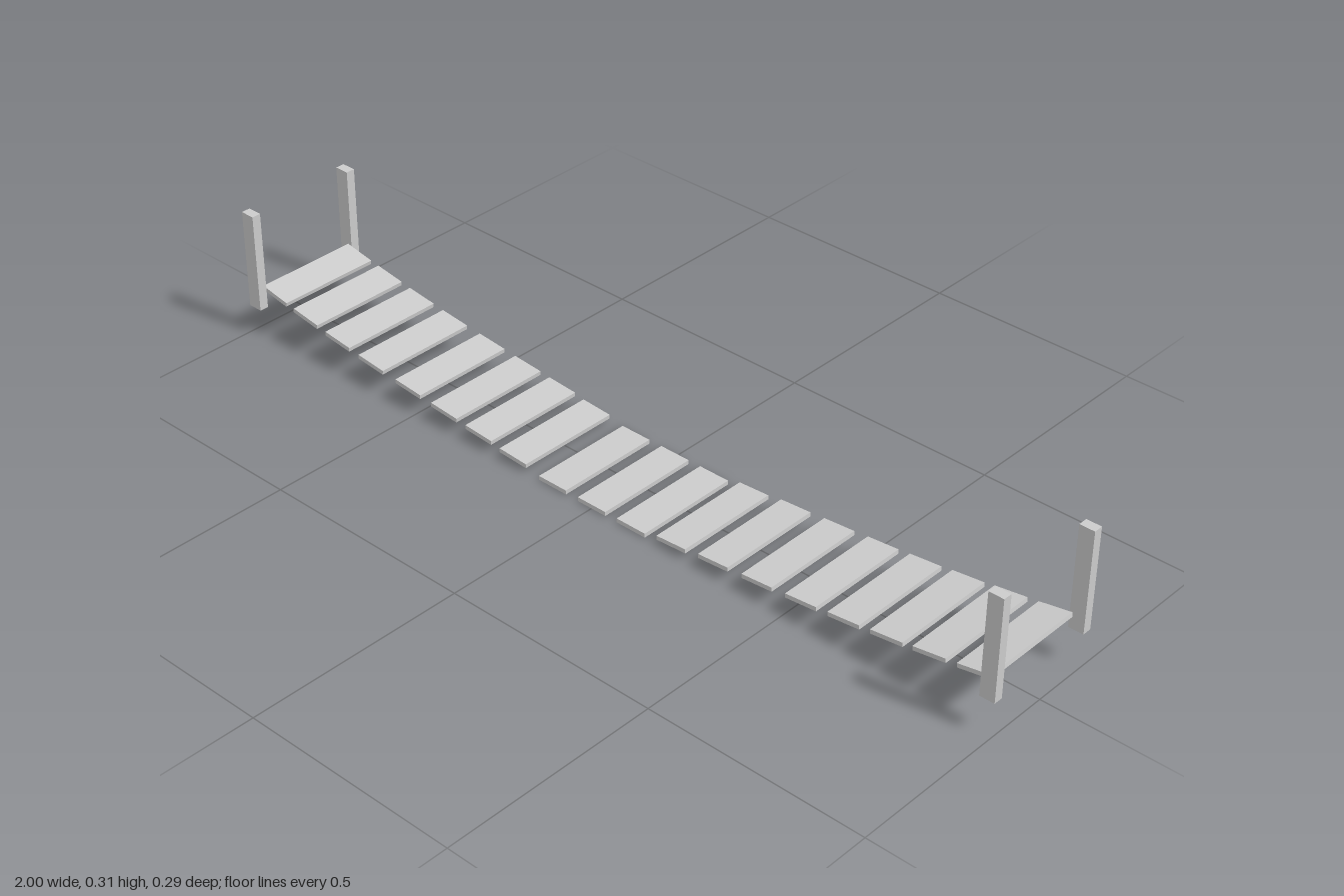
import * as THREE from 'three';

export function createModel() {
  const bridge = new THREE.Group();
  bridge.name = 'hangingBridge';
  const material = new THREE.MeshStandardMaterial({ color: 0xcccccc, flatShading: true });

  function addBox(name, size, position, tilt = 0) {
    const mesh = new THREE.Mesh(new THREE.BoxGeometry(...size), material);
    mesh.name = name;
    mesh.position.set(...position);
    mesh.rotation.z = tilt;
    bridge.add(mesh);
  }

  // Planks: slightly uneven spacing along a sagging curve
  const planksX = [-0.94, -0.843, -0.743, -0.64, -0.527, -0.42, -0.319, -0.22, -0.108, 0,
    0.106, 0.212, 0.32, 0.43, 0.538, 0.64, 0.74, 0.837, 0.936];
  // Height and tilt from the middle plank outwards
  const heights = [0.005, 0.005, 0.018, 0.029, 0.038, 0.048, 0.059, 0.072, 0.087, 0.103];
  const tilts = [0, 0, 0.06, 0.07, 0.08, 0.09, 0.105, 0.12, 0.15, 0.18];
  planksX.forEach((x, i) => {
    const step = Math.abs(i - 9);
    addBox('plank' + (i + 1), [0.075, 0.0095, 0.246], [x, heights[step], 0],
      Math.sign(i - 9) * tilts[step]);
  });

  // End posts: the pair on the model's left stands a little higher
  for (const sx of [-1, 1]) {
    for (const sz of [-1, 1]) {
      const name = (sx > 0 ? 'left' : 'right') + (sz > 0 ? 'Front' : 'Back') + 'Post';
      addBox(name, [0.034, 0.231, 0.021], [sx * 0.983, sx > 0 ? 0.193 : 0.181, sz * 0.134]);
    }
  }
  return bridge;
}
